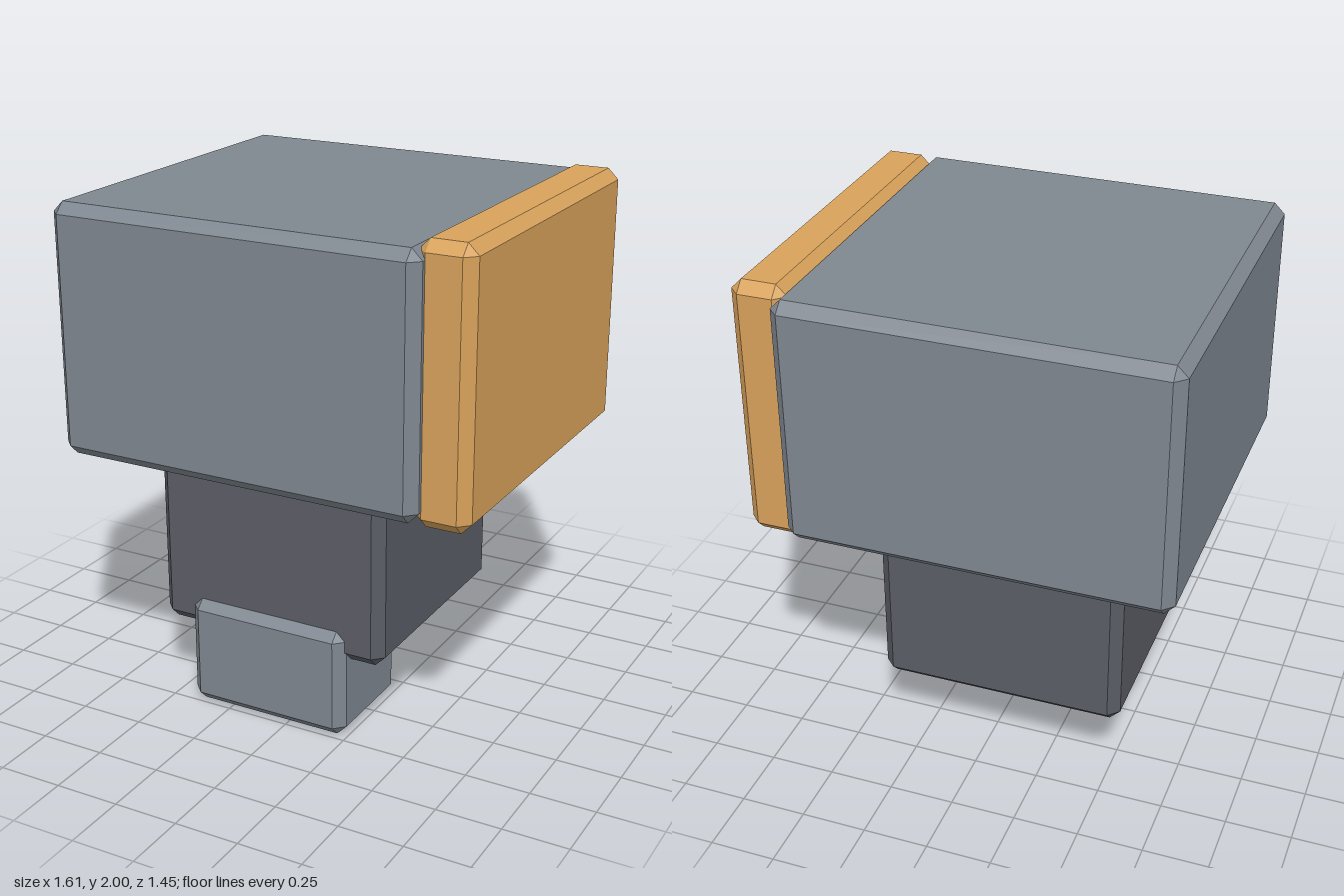
import * as THREE from 'three';
import { ConvexGeometry } from 'three/addons/geometries/ConvexGeometry.js';

const GREY = 0x7f8790, DARK = 0x5b5d66, ORANGE = 0xd8a25b;

// Box between two corners, with every edge and corner cut by a flat bevel
function bevelledBox(name, color, min, max, bevel = 0.04) {
  const size = max.map((v, i) => v - min[i]);
  const points = [];
  for (const sx of [-1, 1]) for (const sy of [-1, 1]) for (const sz of [-1, 1]) {
    const sign = [sx, sy, sz];
    // three points per corner, each lying on one of the faces meeting there
    for (let face = 0; face < 3; face++) {
      const p = sign.map((s, i) => s * (size[i] / 2 - (i === face ? 0 : bevel)));
      points.push(new THREE.Vector3(...p));
    }
  }
  const material = new THREE.MeshStandardMaterial({ color, flatShading: true });
  const mesh = new THREE.Mesh(new ConvexGeometry(points), material);
  mesh.name = name;
  mesh.position.set(...min.map((v, i) => (v + max[i]) / 2));
  return mesh;
}

export function createModel() {
  const model = new THREE.Group();
  model.name = 'steppedBlocks';
  model.add(
    // large upper block
    bevelledBox('upperBlock', GREY, [-0.805, 1.03, -0.723], [0.635, 1.975, 0.723]),
    // coloured plate on the left side of the upper block
    bevelledBox('sidePlate', ORANGE, [0.595, 1.005, -0.668], [0.805, 2, 0.668]),
    // dark middle block, its top sunk into the upper block
    bevelledBox('middleBlock', DARK, [-0.557, 0.31, -0.47], [0.387, 1.255, 0.47]),
    // small block at the lower front
    bevelledBox('footBlock', GREY, [-0.417, 0, 0.057], [0.245, 0.435, 0.505])
  );
  return model;
}
